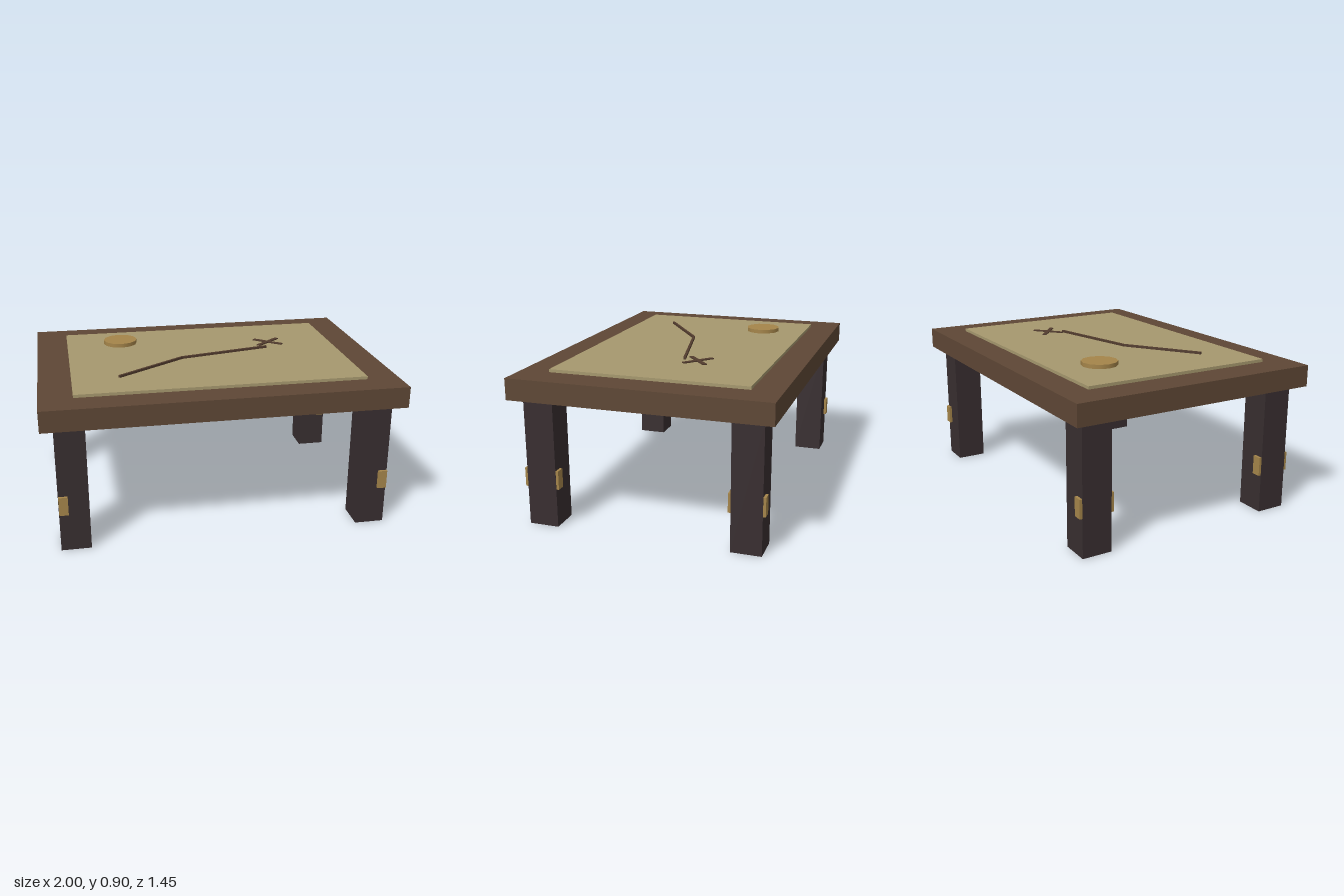
import * as THREE from 'three';

const paint = (name, color) => {
  const m = new THREE.MeshStandardMaterial({ color });
  m.name = name;
  return m;
};

export function createModel() {
  const wood = paint('brown wood', 0x5e4735);
  const darkWood = paint('dark wood', 0x382e30);
  const paper = paint('parchment', 0xa6986e);
  const brass = paint('brass', 0xa5854a);
  const ink = paint('ink', 0x523c2e);

  const model = new THREE.Group();
  model.name = 'mapTable';

  const box = (name, material, size, pos) => {
    const mesh = new THREE.Mesh(new THREE.BoxGeometry(...size), material);
    mesh.name = name;
    mesh.position.set(...pos);
    model.add(mesh);
    return mesh;
  };

  // Flat bar lying between two points [x, z]
  const bar = (name, a, b, width, y, height) => {
    const dx = b[0] - a[0], dz = b[1] - a[1];
    const mesh = box(name, ink, [Math.hypot(dx, dz), height, width],
      [(a[0] + b[0]) / 2, y, (a[1] + b[1]) / 2]);
    mesh.rotation.y = -Math.atan2(dz, dx);
  };

  // Table top and map sheet
  box('tableTop', wood, [2, 0.12, 1.453], [0, 0.79, 0]);
  box('mapSheet', paper, [1.63, 0.018, 1.12], [0, 0.858, 0]);

  // Legs, each with a brass plate running through near its outer edge
  for (const sx of [-1, 1]) {
    for (const sz of [-1, 1]) {
      box('leg', darkWood, [0.166, 0.73, 0.17], [sx * 0.848, 0.365, sz * 0.578]);
      box('legPlate', brass, [0.051, 0.107, 0.2], [sx * 0.904, 0.275, sz * 0.578]);
    }
  }

  // Route drawn on the map
  const route = [[-0.55, 0.33], [-0.155, 0.058], [0.39, -0.065]];
  for (let i = 0; i < route.length - 1; i++) {
    bar('routeLine', route[i], route[i + 1], 0.014, 0.8745, 0.013);
  }

  // Cross marking the destination
  for (const s of [-1, 1]) {
    bar('crossMark', [0.347, -0.155 - s * 0.063], [0.497, -0.155 + s * 0.063], 0.024, 0.877, 0.006);
  }

  // Coin
  const coin = new THREE.Mesh(new THREE.CylinderGeometry(0.102, 0.102, 0.023, 12), brass);
  coin.name = 'coin';
  coin.position.set(-0.488, 0.886, -0.305);
  model.add(coin);

  return model;
}
